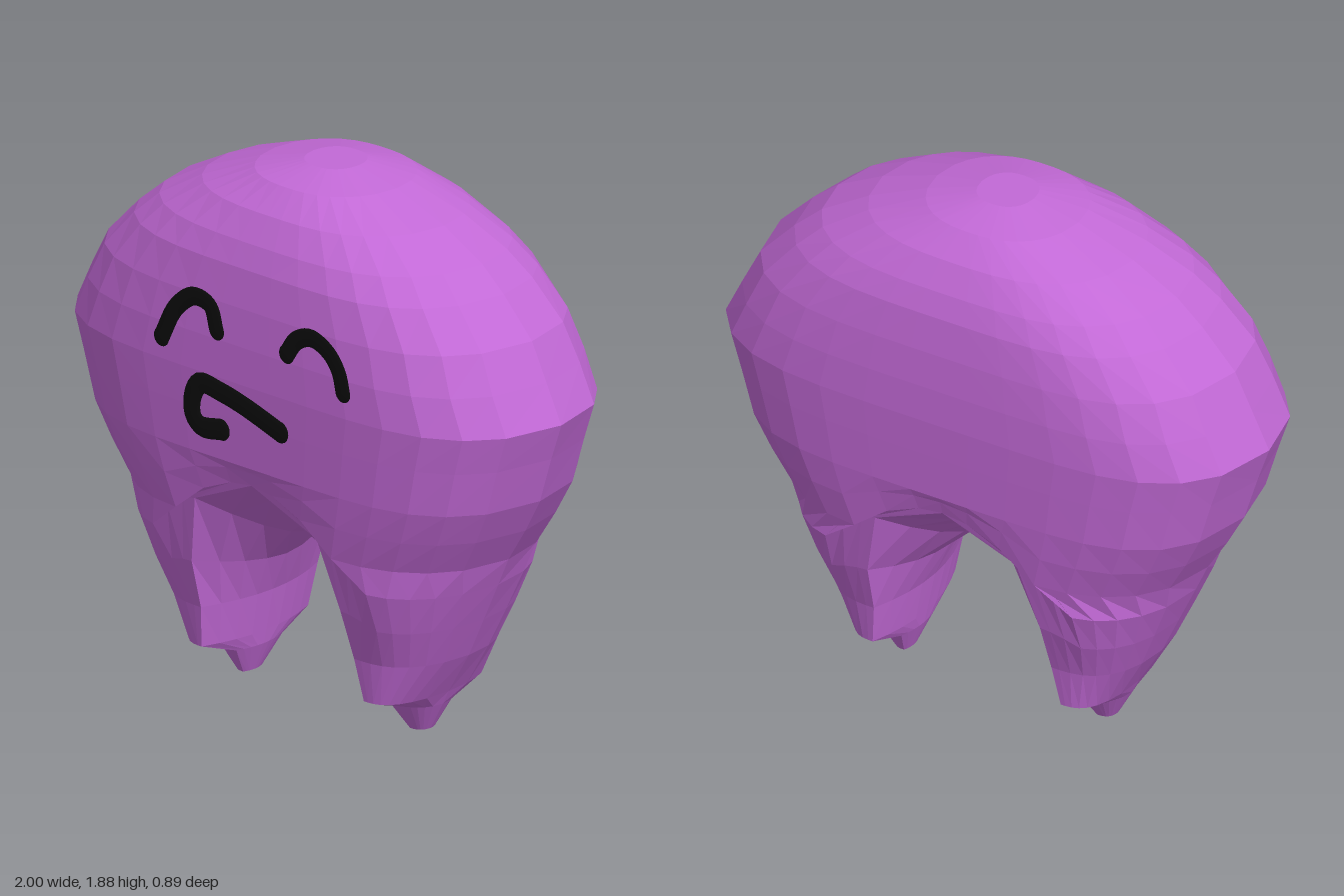
import * as THREE from 'three';
import { mergeGeometries } from 'three/addons/utils/BufferGeometryUtils.js';

const purple = new THREE.MeshStandardMaterial({ color: 0xc269d6, flatShading: true });
purple.name = 'purple';
const black = new THREE.MeshStandardMaterial({ color: 0x0c0c0c });
black.name = 'black';

// Steps along each quarter of a ring, from the middle of the front to the outer side
const STEPS = [0, 0.12, 0.28, 0.45, 0.6, 0.74, 0.86, 0.95, 1];
const OUTER = STEPS.length * 2 - 1;
const INNER = [-0.75, -0.5, -0.25, 0, 0.25, 0.5, 0.75];

// y, outer x, half depth, roundness, x of front inner edge, inner x, rise of front edge, inner y
const LEG = [
  [0, 0.42, 0.045, 3, 0.37, 0.36, 0, 0],
  [0.1, 0.475, 0.11, 3, 0.34, 0.32, 0, 0.1],
  [0.15, 0.5, 0.255, 3, 0.36, 0.31, 0, 0.15],
  [0.3, 0.59, 0.28, 3, 0.34, 0.28, 0, 0.3],
  [0.44, 0.655, 0.335, 3, 0.33, 0.22, 0.04, 0.44],
  [0.58, 0.72, 0.385, 3, 0.27, 0.1, 0.15, 0.55],
  [0.68, 0.765, 0.405, 4, 0, 0, 0.17, 0.63],
];
const BODY = [
  [0.8, 0.84, 0.42, 4.5, 0, 0, 0.1],
  [0.92, 0.905, 0.43, 5, 0, 0, 0],
  [1.08, 0.955, 0.438, 5, 0, 0, 0],
  [1.21, 1, 0.443, 5, 0, 0, 0],
  [1.34, 0.935, 0.44, 5, 0, 0, 0],
  [1.47, 0.87, 0.43, 4.5, 0, 0, 0],
  [1.6, 0.745, 0.41, 4, 0, 0, 0],
  [1.68, 0.65, 0.38, 3.5, 0, 0, 0],
  [1.77, 0.48, 0.325, 3, 0, 0, 0],
  [1.845, 0.27, 0.24, 2.5, 0, 0, 0],
  [1.88, 0.1, 0.1, 2.5, 0, 0, 0],
];

function ring([y, xo, zf, n, a, xi, rise, yi], closed) {
  const front = STEPS.map((u) => [
    a + (xo - a) * u,
    y + rise * Math.max(0, 1 - (u * 2.2) ** 2),
    zf * Math.sqrt(1 - u ** n),
  ]);
  const back = front.slice(0, -1).reverse().map(([x, yy, z]) => [x, yy, -z]);
  const inner = closed ? INNER.map((s) => [
    xi + (a - xi) * s * s,
    yi + (y + rise - yi) * Math.abs(s) ** 1.5,
    zf * s,
  ]) : [];
  return [...front, ...back, ...inner];
}

// Both halves of the body, each running down into one root
function bodyGeometry() {
  const positions = [];
  const legs = LEG.map((r) => ring(r, true));
  const body = BODY.map((r) => ring(r, false));
  for (const side of [1, -1]) {
    const tri = (a, b, c) => {
      for (const p of side > 0 ? [a, b, c] : [a, c, b]) positions.push(p[0] * side, p[1], p[2]);
    };
    const join = (low, high, count, total) => {
      for (let i = 0; i < count; i++) {
        const j = (i + 1) % total;
        tri(low[i], low[j], high[j]);
        tri(low[i], high[j], high[i]);
      }
    };
    const total = legs[0].length;
    for (let i = 0; i + 1 < legs.length; i++) join(legs[i], legs[i + 1], total, total);
    const upper = [legs[legs.length - 1], ...body];
    for (let i = 0; i + 1 < upper.length; i++) join(upper[i], upper[i + 1], OUTER - 1, OUTER);
    // Root tip and crown caps
    legs[0].forEach((p, i) => tri(legs[0][(i + 1) % total], p, [0.39, 0, 0]));
    const top = body[body.length - 1];
    for (let i = 0; i + 1 < OUTER; i++) tri(top[i], top[i + 1], [0, 1.88, 0]);
  }
  const geometry = new THREE.BufferGeometry();
  geometry.setAttribute('position', new THREE.Float32BufferAttribute(positions, 3));
  geometry.computeVertexNormals();
  return geometry;
}

// Flattened round-ended stroke lying on the front
function stroke(name, points, radius, z) {
  const path = new THREE.CatmullRomCurve3(points.map(([x, y]) => new THREE.Vector3(x, y, 0)));
  const parts = [new THREE.TubeGeometry(path, 40, radius, 10, false)];
  for (const t of [0, 1]) {
    const p = path.getPoint(t);
    parts.push(new THREE.SphereGeometry(radius, 14, 10).translate(p.x, p.y, 0));
  }
  const mesh = new THREE.Mesh(mergeGeometries(parts), black);
  mesh.name = name;
  mesh.scale.z = 0.13;
  mesh.position.z = z;
  return mesh;
}

export function createModel() {
  const model = new THREE.Group();
  model.name = 'tooth';
  const body = new THREE.Mesh(bodyGeometry(), purple);
  body.name = 'body';
  model.add(body);

  // Closed smiling eyes and crooked mouth
  model.add(
    stroke('rightEye', [[-0.365, 1.285], [-0.3, 1.405], [-0.22, 1.465], [-0.15, 1.45], [-0.12, 1.37]], 0.033, 0.442),
    stroke('leftEye', [[0.19, 1.37], [0.235, 1.43], [0.3, 1.455], [0.375, 1.425], [0.42, 1.37], [0.44, 1.3]], 0.033, 0.442),
    stroke('mouth', [[0.16, 1.09], [0, 1.14], [-0.1, 1.162], [-0.19, 1.17], [-0.225, 1.12],
      [-0.225, 1.05], [-0.19, 1.02], [-0.1, 1.03]], 0.038, 0.442),
  );
  return model;
}
